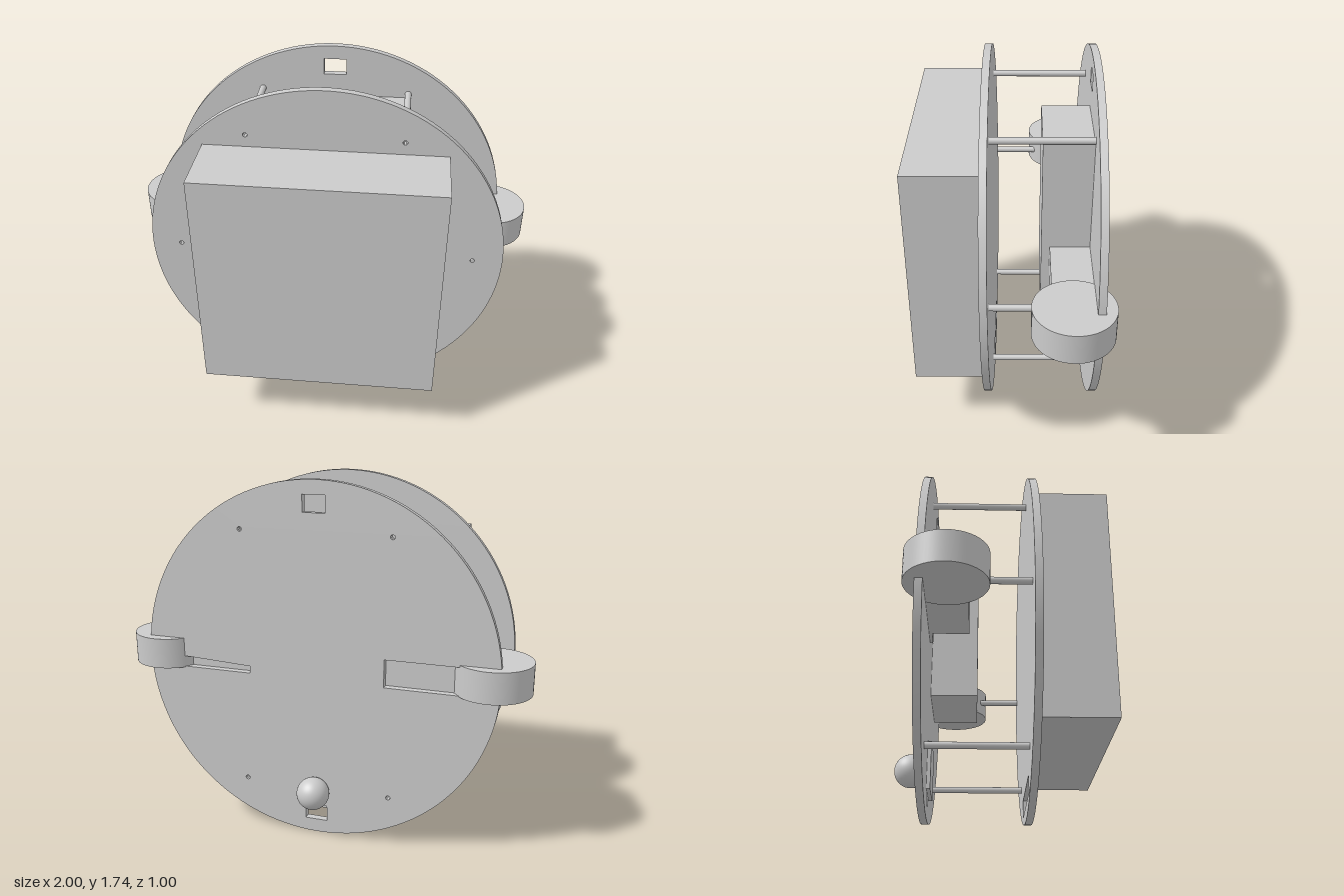
import * as THREE from 'three';
import { toCreasedNormals } from 'three/addons/utils/BufferGeometryUtils.js';

const R = 0.87, CY = 0.872, T = 0.035;
const FRONT_Z = 0.125, BACK_Z = -0.375;
const RODS = [[0.365, 1.505], [-0.365, 1.505], [0.725, CY], [-0.725, CY], [0.365, 0.245], [-0.365, 0.245]];

export function createModel() {
  const root = new THREE.Group();
  root.name = 'twoDeckRobot';
  const material = new THREE.MeshStandardMaterial({ color: 0xcccccc });

  const add = (name, geometry, x = 0, y = 0, z = 0) => {
    const mesh = new THREE.Mesh(geometry, material);
    mesh.name = name;
    mesh.position.set(x, y, z);
    root.add(mesh);
    return mesh;
  };

  // box given by its limits on each axis
  const box = (name, x0, x1, y0, y1, z0, z1) =>
    add(name, new THREE.BoxGeometry(x1 - x0, y1 - y0, z1 - z0), (x0 + x1) / 2, (y0 + y1) / 2, (z0 + z1) / 2);

  // round deck with rectangular slots and small screw holes
  const deck = (name, z, slots) => {
    const shape = new THREE.Shape().absarc(0, CY, R, 0, Math.PI * 2);
    for (const [x0, x1, y0, y1] of slots) {
      shape.holes.push(new THREE.Path().moveTo(x0, y0).lineTo(x0, y1).lineTo(x1, y1).lineTo(x1, y0).closePath());
    }
    for (const [x, y] of RODS) {
      shape.holes.push(new THREE.Path().absarc(x, y, 0.011, 0, Math.PI * 2, true));
    }
    const geometry = new THREE.ExtrudeGeometry(shape, { depth: T, bevelEnabled: false, curveSegments: 64 });
    add(name, toCreasedNormals(geometry, 0.6), 0, 0, z);
  };

  // decks
  deck('frontDeck', FRONT_Z, [[-0.235, 0.235, 0.07, 0.155]]);
  deck('backDeck', BACK_Z, [
    [-0.055, 0.055, 0.07, 0.15],
    [-0.055, 0.055, 1.595, 1.675],
    [0.335, 0.72, 0.805, 0.94],
    [-0.72, -0.335, 0.805, 0.94],
  ]);

  // spacer rods between the decks
  const rodStart = BACK_Z + T, rodLength = FRONT_Z - rodStart;
  for (const [x, y] of RODS) {
    const rod = add('spacerRod', new THREE.CylinderGeometry(0.016, 0.016, rodLength, 24), x, y, rodStart + rodLength / 2);
    rod.rotation.x = Math.PI / 2;
  }

  // payload box on the front, battery box between the decks
  box('payloadBox', -0.57, 0.57, 0.305, 1.445, 0.16, 0.5);
  box('batteryBox', -0.03, 0.36, 0.615, 1.485, -0.34, -0.11);

  // mirrored drive units
  for (const s of [1, -1]) {
    const span = (a, b) => (s > 0 ? [a, b] : [-b, -a]);
    const side = s > 0 ? 'left' : 'right';
    box(side + 'Motor', ...span(0.335, 0.81), 0.805, 0.94, -0.34, -0.15);
    box(side + 'MotorTab', ...span(0.235, 0.335), 0.805, 0.94, -0.34, -0.325);
    add(side + 'Wheel', new THREE.CylinderGeometry(0.185, 0.185, 0.15, 64), s * 0.815, 0.875, -0.245);
  }

  // ball caster
  box('casterBase', -0.115, 0.115, 0.12, 0.35, -0.34, -0.322);
  add('casterBall', new THREE.SphereGeometry(0.08, 40, 24), 0, 0.235, -0.422);

  return root;
}
